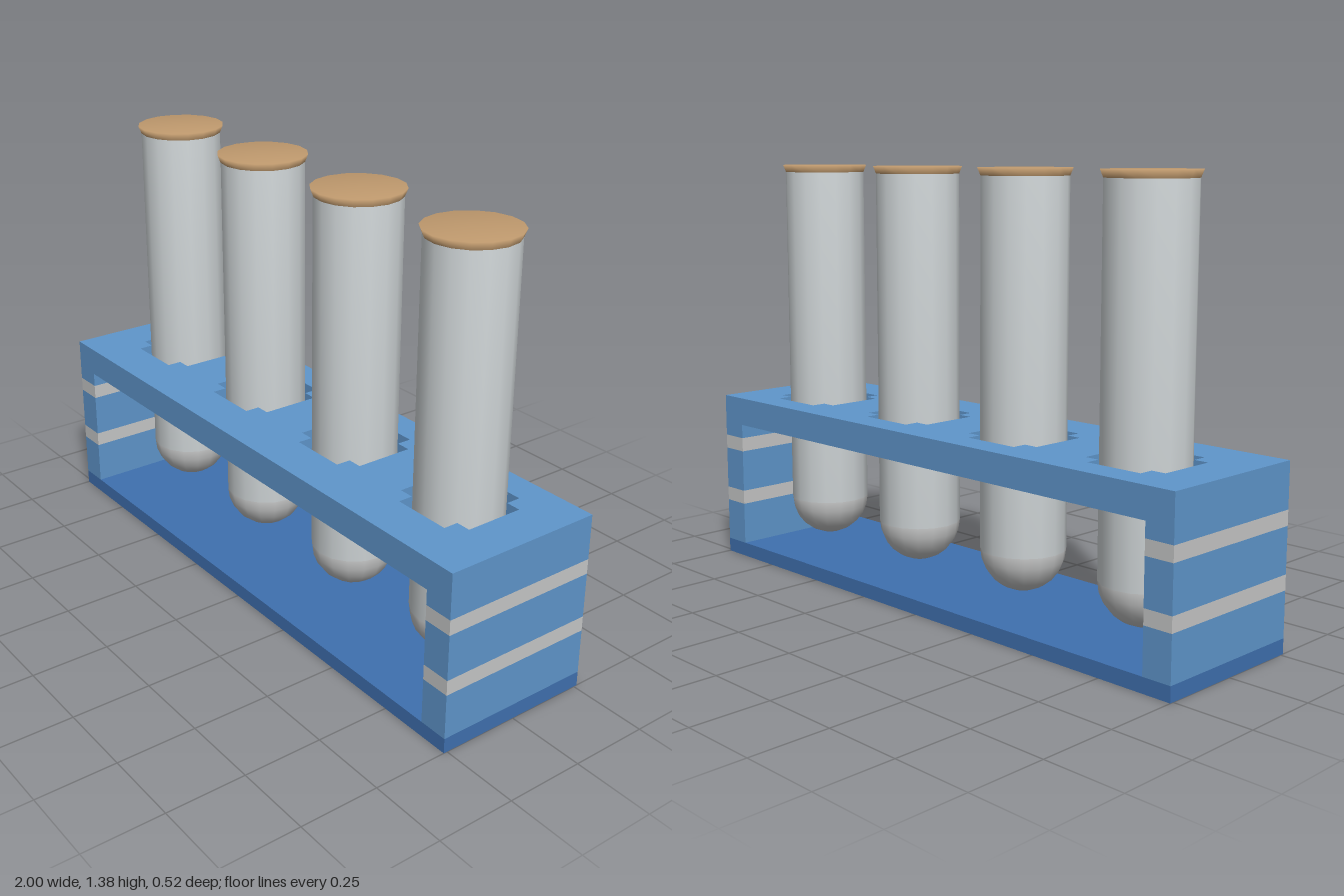
import * as THREE from 'three';

const U = 1 / 21; // rack grid unit: 42 wide, 11 deep, 12 high
const SIDES = 16;

const material = (name, color) => {
  const m = new THREE.MeshStandardMaterial({ color });
  m.name = name;
  return m;
};

export function createModel() {
  const blue = material('rack blue', 0x5f96cb);
  const darkBlue = material('base blue', 0x3f70af);
  const grey = material('stripe grey', 0xc6c7c7);
  const glass = material('pale glass', 0xd5dbdd);
  const cork = material('cork tan', 0xc09a6e);

  const model = new THREE.Group();
  model.name = 'testTubeRack';

  const add = (parent, name, geometry, mat, x = 0, y = 0, z = 0) => {
    const mesh = new THREE.Mesh(geometry, mat);
    mesh.name = name;
    mesh.position.set(x * U, y * U, z * U);
    parent.add(mesh);
    return mesh;
  };
  const box = (w, h, d) => new THREE.BoxGeometry(w * U, h * U, d * U);
  const lathe = (points) =>
    new THREE.LatheGeometry(points.map(([r, y]) => new THREE.Vector2(r * U, y * U)), SIDES);

  const tubeXs = [-15, -5, 5, 15];
  const tubeZ = -0.5;

  // Base plate
  add(model, 'base', box(42, 1, 11), darkBlue, 0, 0.5);

  // End walls, stacked from blue and grey bands
  const bands = [[1, 4, blue], [4, 5, grey], [5, 8, blue], [8, 9, grey], [9, 10, blue]];
  for (const side of [1, -1]) {
    const wall = new THREE.Group();
    wall.name = side > 0 ? 'leftWall' : 'rightWall';
    for (const [y0, y1, mat] of bands) {
      const name = mat === grey ? 'wallStripe' : 'wallBand';
      add(wall, name, box(2, y1 - y0, 11), mat, side * 20, (y0 + y1) / 2);
    }
    model.add(wall);
  }

  // Top plate with a cross-shaped hole for each tube
  const outline = [[-21, -5.5], [21, -5.5], [21, 5.5], [-21, 5.5]];
  const cross = [[-3, -2], [-3, 2], [-2, 2], [-2, 3], [2, 3], [2, 2],
    [3, 2], [3, -2], [2, -2], [2, -3], [-2, -3], [-2, -2]];
  const toPoints = (list, dx = 0, dy = 0) =>
    list.map(([x, y]) => new THREE.Vector2((x + dx) * U, (y + dy) * U));
  const plate = new THREE.Shape(toPoints(outline));
  for (const x of tubeXs) plate.holes.push(new THREE.Path(toPoints(cross, x, -tubeZ)));
  const plateGeometry = new THREE.ExtrudeGeometry(plate, { depth: 2 * U, bevelEnabled: false });
  plateGeometry.rotateX(-Math.PI / 2);
  add(model, 'topPlate', plateGeometry, blue, 0, 10);

  // Tubes: softly shaded body, round bottom and flared stopper
  const radius = 2.8;
  const bodyGeometry = lathe([[0, 4.6], [radius, 4.6], [radius, 28.5]]);
  const bottomGeometry = new THREE.SphereGeometry(
    radius * U, SIDES, 6, 0, Math.PI * 2, Math.PI / 2, Math.PI / 2);
  const stopperGeometry = lathe([[radius, 28.5], [3, 29], [0, 29]]);
  for (const x of tubeXs) {
    const tube = new THREE.Group();
    tube.name = 'testTube';
    tube.position.set(x * U, 0, tubeZ * U);
    add(tube, 'tubeBody', bodyGeometry, glass);
    add(tube, 'tubeBottom', bottomGeometry, grey, 0, 4.6);
    add(tube, 'stopper', stopperGeometry, cork);
    model.add(tube);
  }

  return model;
}
